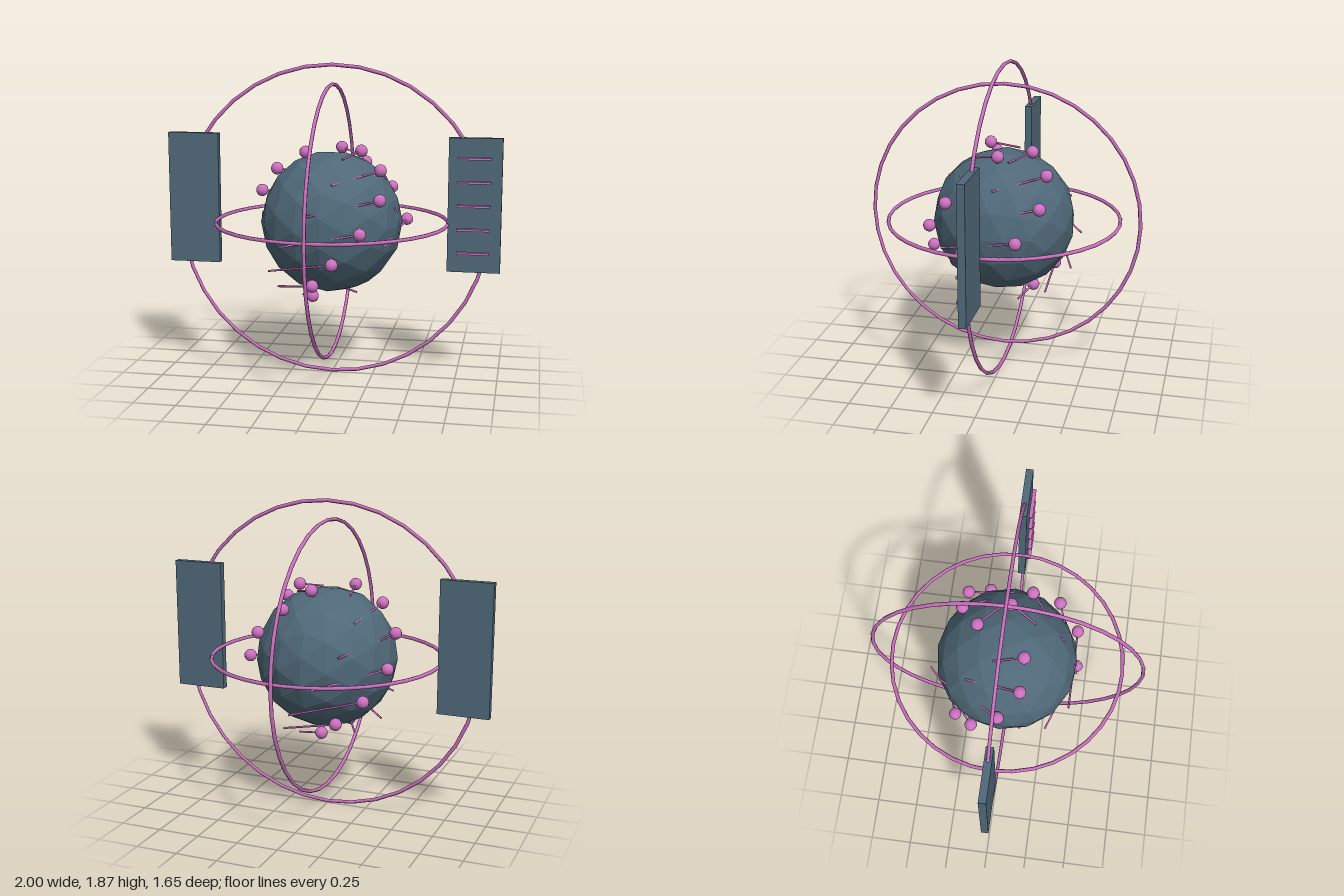
import * as THREE from 'three';

const CENTER_Y = 0.945;

export function createModel() {
  const model = new THREE.Group();
  model.name = 'ringedCore';

  const slate = new THREE.MeshStandardMaterial({ color: 0x4f6878 });
  slate.name = 'slate blue';
  slate.flatShading = true;
  const pink = new THREE.MeshStandardMaterial({ color: 0xcc70c0 });
  pink.name = 'orchid pink';

  const add = (name, geometry, material, x = 0, y = 0, z = 0) => {
    const mesh = new THREE.Mesh(geometry, material);
    mesh.name = name;
    mesh.position.set(x, y, z);
    model.add(mesh);
    return mesh;
  };

  // Faceted core
  add('core', new THREE.IcosahedronGeometry(0.422, 2), slate, 0, CENTER_Y, 0);

  // Three rings, one around each axis
  const ring = (name, radius) =>
    add(name, new THREE.TorusGeometry(radius, 0.011, 6, 36), pink, 0, CENTER_Y, 0);
  ring('outerRing', 0.926);
  ring('middleRing', 0.812).rotation.y = Math.PI / 2;
  ring('innerRing', 0.69).rotation.x = Math.PI / 2;

  // Side panels
  for (const side of [-1, 1]) {
    add(side > 0 ? 'leftPanel' : 'rightPanel',
      new THREE.BoxGeometry(0.31, 0.79, 0.044), slate, side * 0.845, 1.065, 0);
  }

  // Bars standing just off the left panel
  for (let i = 0; i < 5; i++) {
    add('panelBar', new THREE.BoxGeometry(0.19, 0.012, 0.022), pink,
      0.84, 0.786 + i * 0.139, 0.039);
  }

  // Knobs in seven rows, each with a rod to a point 60 degrees further round
  const knob = new THREE.SphereGeometry(0.037, 14, 10);
  const up = new THREE.Vector3(0, 1, 0);
  const rad = THREE.MathUtils.degToRad;
  for (let row = 0; row < 7; row++) {
    const lat = rad(67.5 - row * 22.5);
    const r = 0.46 * Math.cos(lat);
    const y = CENTER_Y + 0.46 * Math.sin(lat);
    const point = (deg, h) =>
      new THREE.Vector3(r * Math.cos(rad(deg)), h, r * Math.sin(rad(deg)));
    const count = row < 4 ? 3 : 2;
    for (let i = 0; i < count; i++) {
      const lon = row * 20 + i * 140;
      const start = point(lon, y);
      const end = point(lon + 60, y - 0.19 * r);
      add('knob', knob, pink, ...start.toArray());
      const dir = end.clone().sub(start);
      const mid = start.clone().add(end).multiplyScalar(0.5);
      add('rod', new THREE.CylinderGeometry(0.006, 0.006, dir.length(), 6), pink, ...mid.toArray())
        .quaternion.setFromUnitVectors(up, dir.normalize());
    }
  }

  return model;
}
